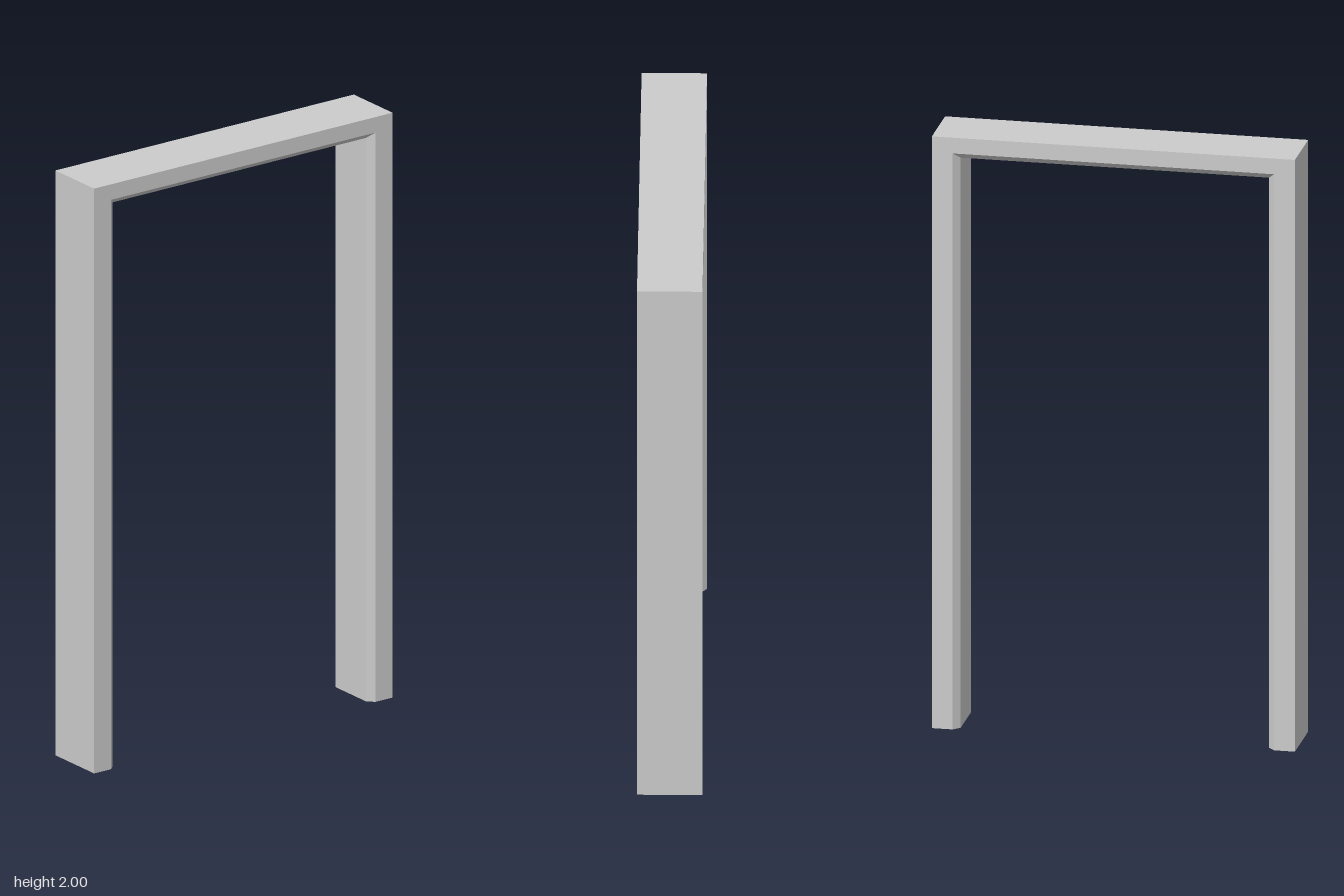
import * as THREE from 'three';

const W = 0.595, H = 2;           // outer half width and height
const D = 0.105, DB = 0.083;      // half depth at the faces and inside the bevels

// Cross-section points: [level, z], level 0 = outer, 1 = face edge, 2 = inner
const PROFILE = [[0, D], [1, D], [2, DB], [2, -DB], [1, -D], [0, -D]];
const JAMB = [0, 0.068, 0.09];    // inward offsets on the uprights
const HEAD = [0, 0.053, 0.073];   // downward offsets on the crosspiece

// A ring of points at a foot of the frame or at a mitred top corner
const ring = (side, atTop) => PROFILE.map(([k, z]) =>
  [side * (W - JAMB[k]), atTop ? H - HEAD[k] : 0, z]);

// Joins two rings with quads, optionally closing either end
function sweep(name, a, b, capStart, capEnd, material) {
  const pos = [];
  const n = a.length;
  const tri = (p, q, r) => pos.push(...p, ...q, ...r);
  for (let i = 0; i < n; i++) {
    const j = (i + 1) % n;
    tri(a[i], a[j], b[j]);
    tri(a[i], b[j], b[i]);
  }
  for (let i = 1; i < n - 1; i++) {
    if (capStart) tri(a[0], a[i + 1], a[i]);
    if (capEnd) tri(b[0], b[i], b[i + 1]);
  }
  const geometry = new THREE.BufferGeometry();
  geometry.setAttribute('position', new THREE.Float32BufferAttribute(pos, 3));
  geometry.computeVertexNormals();
  const mesh = new THREE.Mesh(geometry, material);
  mesh.name = name;
  return mesh;
}

export function createModel() {
  const group = new THREE.Group();
  group.name = 'doorFrame';
  const material = new THREE.MeshStandardMaterial({ color: 0xcccccc, flatShading: true });

  // Upright, crosspiece, upright, mitred together at the top corners
  const rightFoot = ring(-1, false), rightTop = ring(-1, true);
  const leftTop = ring(1, true), leftFoot = ring(1, false);
  group.add(
    sweep('rightJamb', rightFoot, rightTop, true, false, material),
    sweep('head', rightTop, leftTop, false, false, material),
    sweep('leftJamb', leftTop, leftFoot, false, true, material),
  );
  return group;
}
